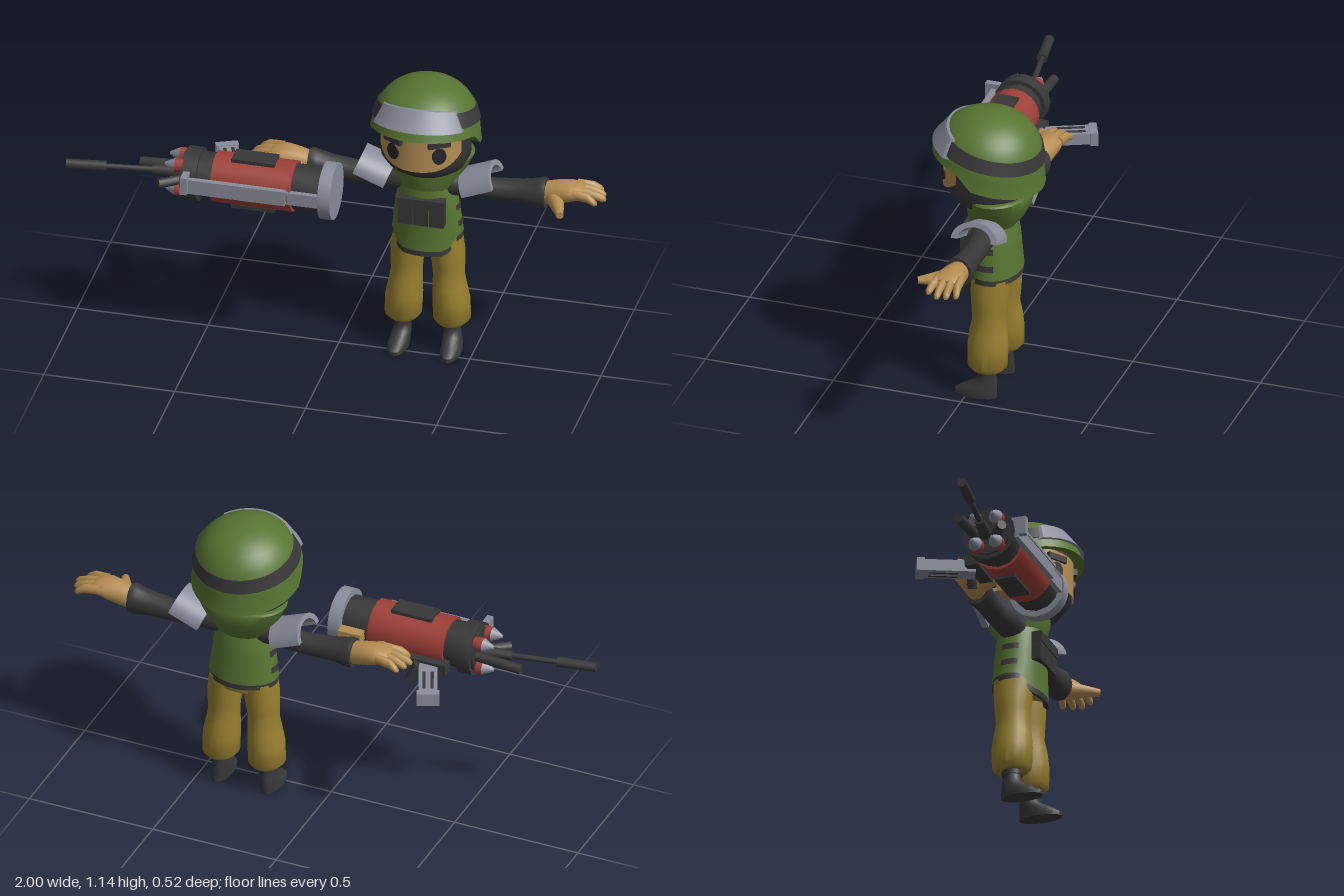
import * as THREE from 'three';
import { toCreasedNormals } from 'three/addons/utils/BufferGeometryUtils.js';

const paint = (name, color, side = THREE.FrontSide) => {
  const m = new THREE.MeshStandardMaterial({ color, side });
  m.name = name;
  return m;
};
const green = paint('olive green', 0x587532, THREE.DoubleSide);
const dark = paint('charcoal', 0x383838, THREE.DoubleSide);
const black = paint('eye black', 0x262628);
const tan = paint('skin tan', 0xb58d52, THREE.DoubleSide);
const khaki = paint('trouser khaki', 0x98802f);
const grey = paint('steel grey', 0x8a8d9b, THREE.DoubleSide);
const red = paint('rust red', 0x9e4037);

const CX = 0.32; // middle of the figure
const { sin, cos, PI, abs, max } = Math;
const lerp = THREE.MathUtils.lerp;

// piecewise linear lookup in ascending [key, value...] rows
function lookup(rows, t, k = 1) {
  let i = 0;
  while (i < rows.length - 2 && t > rows[i + 1][0]) i++;
  const [a, b] = [rows[i], rows[i + 1]];
  return lerp(a[k], b[k], THREE.MathUtils.clamp((t - a[0]) / (b[0] - a[0]), 0, 1));
}

export function createModel() {
  const model = new THREE.Group();
  model.name = 'soldier';

  function add(name, geometry, material, x = 0, y = 0, z = 0, parent = model) {
    const mesh = new THREE.Mesh(geometry, material);
    mesh.name = name;
    mesh.position.set(x, y, z);
    parent.add(mesh);
    return mesh;
  }
  const box = (name, w, h, d, material, x, y, z, parent) =>
    add(name, new THREE.BoxGeometry(w, h, d), material, x, y, z, parent);

  // grid of points f(column, row); columns run anticlockwise, rows run up
  function surface(name, f, cols, rows, material, crease = 0.8) {
    const pos = [], index = [], w = cols + 1;
    for (let r = 0; r <= rows; r++) for (let c = 0; c <= cols; c++) pos.push(...f(c, r));
    for (let r = 0; r < rows; r++) for (let c = 0; c < cols; c++) {
      const a = r * w + c;
      index.push(a, a + 1, a + w + 1, a, a + w + 1, a + w);
    }
    const g = new THREE.BufferGeometry();
    g.setAttribute('position', new THREE.Float32BufferAttribute(pos, 3));
    g.setIndex(index);
    return add(name, toCreasedNormals(g, crease), material);
  }

  // closed loft through ellipses [t, centre u, centre v, radius u, radius v]
  function loft(name, rows, material, axis = 'y', n = 16) {
    const list = rows[0][0] > rows[rows.length - 1][0] ? [...rows].reverse() : rows;
    const first = list[0], last = list[list.length - 1];
    const all = [[...first.slice(0, 3), 0, 0], ...list, [...last.slice(0, 3), 0, 0]];
    return surface(name, (c, r) => {
      const [t, u, v, ru, rv] = all[r], a = (c % n) / n * 2 * PI;
      return axis === 'y' ? [u + ru * sin(a), t, v + rv * cos(a)]
        : [t, u + ru * cos(a), v + rv * sin(a)];
    }, n, all.length - 1, material);
  }

  // tapered round rod between two points
  function rod(name, p, q, r0, r1, material, n = 12) {
    const a = new THREE.Vector3(...p), b = new THREE.Vector3(...q);
    const mesh = add(name, new THREE.CylinderGeometry(r1, r0, a.distanceTo(b), n), material);
    mesh.position.copy(a).lerp(b, 0.5);
    mesh.quaternion.setFromUnitVectors(new THREE.Vector3(0, 1, 0), b.sub(a).normalize());
    return mesh;
  }

  // head, mask and face
  loft('maskedHead', [[0.765, CX, -0.06, 0.1, 0.085], [0.8, CX, -0.055, 0.145, 0.13],
    [0.845, CX, -0.05, 0.168, 0.165], [0.98, CX, -0.05, 0.17, 0.17], [1.05, CX, -0.05, 0.15, 0.15]], dark, 'y', 28);
  loft('hoodCollar', [[0.69, CX, -0.07, 0.1, 0.085], [0.73, CX, -0.078, 0.118, 0.108],
    [0.78, CX, -0.088, 0.152, 0.122], [0.83, CX, -0.09, 0.175, 0.132], [0.838, CX, -0.09, 0.17, 0.128]], green, 'y', 24);
  surface('face', (c, r) => {
    const a = lerp(-1.1, 1.1, c / 20);
    const y = lerp(0.845 + 0.055 * abs(a / 1.1) ** 3, 0.99, r / 4);
    return [CX + 0.173 * sin(a), y, -0.05 + 0.173 * cos(a)];
  }, 20, 4, tan);
  for (const s of [-1, 1]) {
    const a = s * 0.53, x = CX + 0.174 * sin(a), z = -0.05 + 0.174 * cos(a);
    const disc = new THREE.CylinderGeometry(1, 1, 0.008, 20).rotateX(PI / 2).scale(0.027, 0.033, 1);
    add('eye', disc, black, x, 0.912, z).rotation.y = a;
    box('eyebrow', 0.085, 0.024, 0.016, dark, x, 0.962, z).rotation.y = a;
  }

  // helmet shell with a rim that drops behind the face
  const dome = (a, y, k = 1) => {
    const q = 0.21 * k * Math.sqrt(max(0, 1 - max(0, (y - 0.9) / 0.245) ** 3));
    return [CX + q * 0.97 * sin(a), y, -0.045 + q * cos(a)];
  };
  const rimRows = [[-1, 0.857], [0.04, 0.91], [0.2, 0.96], [0.4, 0.972], [1, 0.995]];
  surface('helmet', (c, r) => {
    const a = (c % 48) / 48 * 2 * PI, rim = lookup(rimRows, cos(a));
    if (r === 0) return dome(a, rim + 0.005, 0.84);
    return dome(a, lerp(rim, 1.145, sin((r - 1) / 12 * PI / 2)), r === 1 ? 1.02 : 1);
  }, 48, 13, green);
  function helmetBand(name, a0, a1, half, k, material, n) {
    surface(name, (c, r) => {
      const a = lerp(a0, a1, c / n), mid = 0.98 + 0.043 * (cos(a) + 1);
      const edge = r === 0 || r === 3 || (a1 - a0 < 6 && (c === 0 || c === n));
      return dome(a, mid + (r < 2 ? -half : half), edge ? 0.99 : k);
    }, n, 3, material, 0.5);
  }
  helmetBand('helmetStrap', 0, 2 * PI, 0.026, 1.025, dark, 40);
  helmetBand('goggles', -1.08, 1.08, 0.035, 1.07, grey, 18);

  // vest with a dipped front flap
  const vestRows = [[0.44, -0.076, 0.137, 0.102], [0.5, -0.077, 0.135, 0.1], [0.65, -0.07, 0.116, 0.095],
    [0.73, -0.066, 0.095, 0.085]];
  const vest = (a, y, k = 1) => [CX + k * lookup(vestRows, y, 2) * sin(a), y,
    lookup(vestRows, y, 1) + k * lookup(vestRows, y, 3) * cos(a)];
  const hem = a => 0.5 - 0.05 * THREE.MathUtils.smoothstep(cos(a), 0.35, 0.85);
  surface('vest', (c, r) => {
    const a = (c % 32) / 32 * 2 * PI;
    return vest(a, lerp(hem(a), 0.73, r / 6));
  }, 32, 6, green);
  surface('vestTrim', (c, r) => {
    const a = (c % 32) / 32 * 2 * PI;
    return vest(a, hem(a) + (r === 0 || r === 3 ? 0.006 : 0) - (r < 2 ? 0.022 : 0), r === 0 ? 0.8 : 0.985);
  }, 32, 3, dark);
  for (const s of [-1, 1]) for (const y of [0.615, 0.548]) {
    surface('sideStrap', (c, r) => vest(s * PI / 2 + lerp(-0.33, 0.33, c / 6), y + (r ? 0.012 : -0.012), 1.03),
      6, 1, dark);
  }
  for (const i of [-1, 0, 1]) {
    box('pouch', 0.056, 0.11, 0.035, dark, CX + i * 0.06, 0.62, 0.018);
    box('pouchFlap', 0.059, 0.04, 0.04, dark, CX + i * 0.06, 0.656, 0.02);
  }

  // trousers and boots
  loft('hips', [[0.448, CX, -0.078, 0.115, 0.075], [0.5, CX, -0.078, 0.125, 0.085]], khaki, 'y', 24);
  for (const s of [-1, 1]) {
    loft('trouserLeg', [[0.112, 0.092, -0.075, 0.055, 0.06], [0.13, 0.093, -0.075, 0.07, 0.075],
      [0.21, 0.09, -0.075, 0.07, 0.077], [0.27, 0.084, -0.075, 0.063, 0.072], [0.315, 0.08, -0.076, 0.059, 0.063],
      [0.36, 0.079, -0.077, 0.062, 0.067], [0.42, 0.074, -0.077, 0.066, 0.072],
      [0.49, 0.068, -0.077, 0.062, 0.078]].map(([y, d, ...r]) => [y, CX + s * d, ...r]), khaki, 'y', 20);
    loft('boot', [[0, 0.101, -0.032, 0.038, 0.083], [0.015, 0.101, -0.032, 0.04, 0.083],
      [0.035, 0.099, -0.046, 0.038, 0.068], [0.06, 0.095, -0.07, 0.034, 0.042], [0.085, 0.094, -0.074, 0.031, 0.034],
      [0.12, 0.093, -0.074, 0.033, 0.036]].map(([y, d, ...r]) => [y, CX + s * d, ...r]), dark);
    loft('bootCuff', [[0.094, CX + s * 0.093, -0.074, 0.037, 0.039],
      [0.112, CX + s * 0.093, -0.074, 0.037, 0.039]], dark);
  }

  // arms, shoulder guards and hands
  for (const s of [-1, 1]) {
    const side = rows => rows.map(([d, ...r]) => [CX + s * d, ...r]);
    loft('sleeve', side([[0.07, 0.705, -0.075, 0.05, 0.055], [0.16, 0.702, -0.08, 0.045, 0.05],
      [0.25, 0.695, -0.085, 0.04, 0.043], [0.36, 0.7, -0.085, 0.047, 0.044], [0.42, 0.703, -0.085, 0.056, 0.05],
      [0.435, 0.704, -0.085, 0.062, 0.052], [0.452, 0.704, -0.085, 0.06, 0.05]]), dark, 'x');
    const arch = new THREE.Shape().absarc(0, 0, 0.09, 0, PI, false).absarc(0, 0, 0.066, PI, 0, true);
    const guard = new THREE.ExtrudeGeometry(arch, { depth: 0.125, bevelEnabled: false, curveSegments: 12 });
    guard.translate(0, 0, -0.0625).rotateY(PI / 2).scale(1, 0.8, 1);
    add('shoulderGuard', toCreasedNormals(guard, 0.6), grey, CX + s * 0.208, 0.714, -0.08).rotation.z = s * 0.38;
    loft('palm', side([[0.44, 0.704, -0.085, 0.045, 0.038], [0.49, 0.715, -0.085, 0.047, 0.045],
      [0.54, 0.726, -0.085, 0.04, 0.056], [0.585, 0.732, -0.085, 0.026, 0.056], [0.6, 0.73, -0.085, 0.018, 0.05]]), tan, 'x');
    [[-0.128, -0.142, 0.655], [-0.1, -0.108, 0.672], [-0.072, -0.075, 0.68], [-0.047, -0.035, 0.655]].forEach(([z0, z1, tip]) =>
      loft('finger', side([[0.56, 0.735, z0, 0.02, 0.017], [0.62, 0.73, lerp(z0, z1, 0.6), 0.019, 0.015],
        [tip - 0.01, 0.717, z1, 0.015, 0.012], [tip, 0.714, z1, 0.007, 0.006]]), tan, 'x', 10));
    rod('thumb', [CX + s * 0.49, 0.7, -0.06], [CX + s * 0.535, 0.692, 0.045], 0.034, 0.014, tan);
  }

  // heavy launcher lying along x
  const Y = 0.715, Z = 0.115;
  const drum = (name, x0, x1, r, material, n = 20) =>
    loft(name, [[x0, Y, Z, r, r], [x1, Y, Z, r, r]], material, 'x', n);
  drum('buttPlate', -0.028, 0.02, 0.108, grey, 24);
  drum('rearBody', -0.14, -0.028, 0.086, dark, 12);
  drum('redShell', -0.44, -0.135, 0.097, red, 16);
  drum('frontBody', -0.56, -0.44, 0.087, dark, 12);
  drum('frontRing', -0.55, -0.495, 0.102, dark, 16);
  for (const s of [-1, 1]) box('shellPlate', 0.165, 0.014, 0.08, dark, -0.29, Y + s * 0.097, Z);
  box('sideRail', 0.39, 0.06, 0.02, grey, -0.345, Y + 0.005, Z + 0.103);
  box('railRib', 0.4, 0.012, 0.01, grey, -0.34, Y + 0.03, Z + 0.112);
  box('rearRail', 0.12, 0.05, 0.02, grey, -0.085, Y, Z + 0.09);
  box('railBracket', 0.025, 0.07, 0.055, grey, -0.53, 0.735, 0.23);
  for (const dy of [-0.05, 0.05]) for (const dz of [-0.04, 0.04]) {
    rod('rocket', [-0.55, Y + dy, Z + dz], [-0.585, Y + dy, Z + dz], 0.027, 0.027, red);
    rod('rocketTip', [-0.585, Y + dy, Z + dz], [-0.625, Y + dy, Z + dz], 0.027, 0.006, grey);
  }
  rod('shortBarrel', [-0.55, Y, 0.065], [-0.74, 0.705, 0.065], 0.019, 0.019, dark);
  rod('longBarrel', [-0.55, 0.712, 0.105], [-0.87, 0.718, 0.153], 0.012, 0.01, dark);
  rod('muzzle', [-0.85, 0.718, 0.151], [-0.998, 0.72, 0.172], 0.02, 0.018, dark);
  rod('barrelSleeve', [-0.55, 0.712, 0.105], [-0.68, 0.714, 0.124], 0.025, 0.018, dark);
  rod('strut', [-0.57, 0.7, 0.15], [-0.64, 0.7, 0.2], 0.018, 0.018, dark);

  // angled magazine and grip behind the launcher
  const magazine = new THREE.Group();
  magazine.name = 'magazine';
  magazine.position.set(-0.435, 0.655, -0.095);
  magazine.rotation.y = 0.42;
  model.add(magazine);
  box('magazineBody', 0.07, 0.045, 0.22, grey, 0, 0, 0, magazine);
  box('magazineCap', 0.085, 0.052, 0.03, grey, 0, 0, -0.095, magazine);
  for (const x of [-0.015, 0.015]) box('magazineSlot', 0.012, 0.05, 0.11, dark, x, 0, -0.01, magazine);
  box('magazineMount', 0.17, 0.045, 0.05, dark, -0.38, 0.665, 0.015);
  rod('handle', [-0.36, 0.68, -0.02], [-0.33, 0.61, -0.03], 0.018, 0.018, dark);
  box('cheekRest', 0.09, 0.04, 0.05, tan, -0.075, 0.71, 0.015);
  return model;
}
